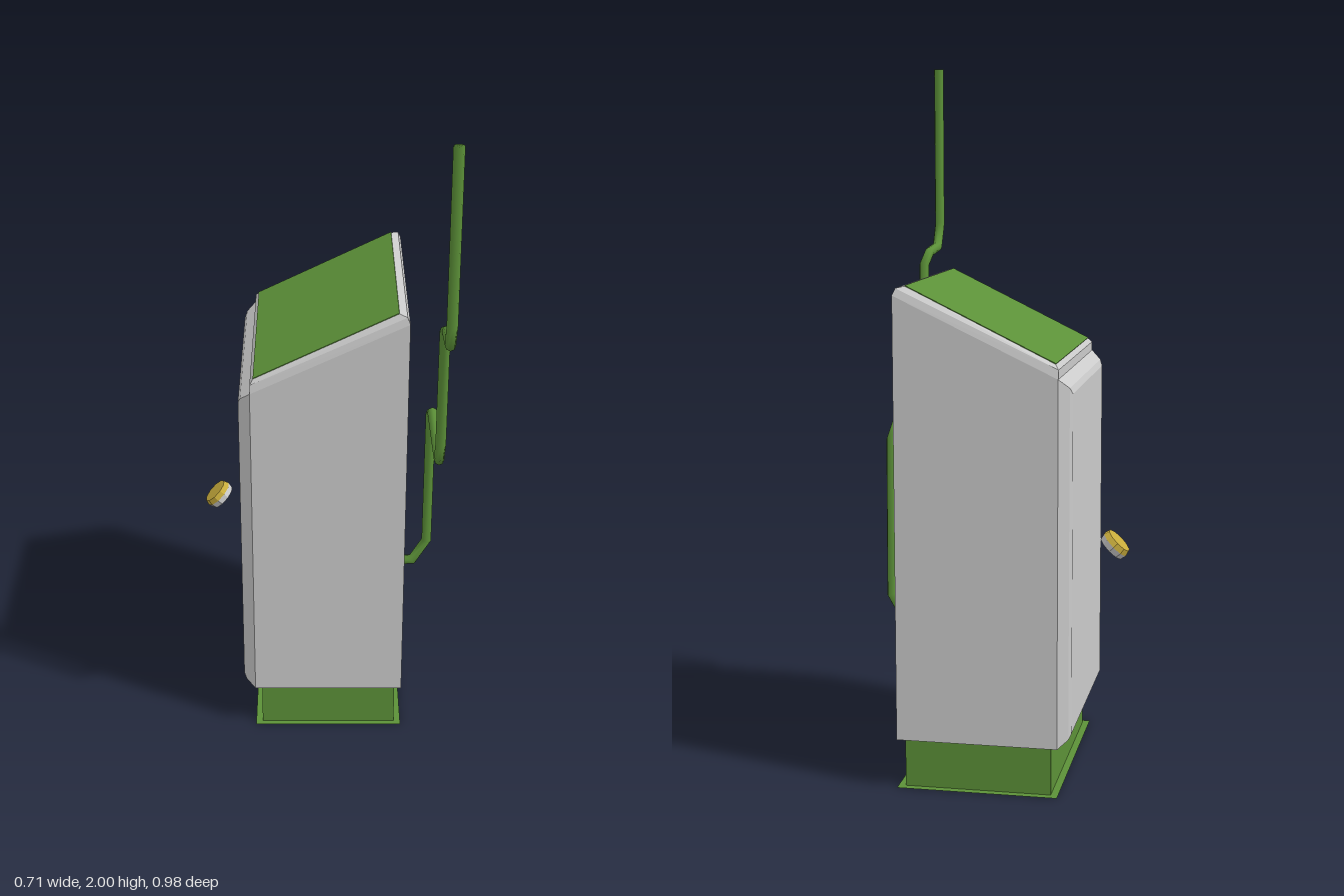
import * as THREE from 'three';
import { ConvexGeometry } from 'three/addons/geometries/ConvexGeometry.js';

const V = (x, y, z) => new THREE.Vector3(x, y, z);
const Z0 = -0.49, Z1 = 0.16; // depth range of the cabinet

const mat = (color, extra = {}) => new THREE.MeshStandardMaterial({ color, ...extra });

function addMesh(parent, name, geometry, material) {
  const mesh = new THREE.Mesh(geometry, material);
  mesh.name = name;
  parent.add(mesh);
  return mesh;
}

// Faceted hull of outlines [x, y], each pulled in from both depth ends by an inset
function hullFromOutlines(outlines) {
  const points = [];
  for (const { inset, xy } of outlines)
    for (const [x, y] of xy) points.push(V(x, y, Z0 + inset), V(x, y, Z1 - inset));
  return new ConvexGeometry(points);
}

// Round pipe with mitred corners: each ring slides along its segment to the joint plane
function mitredPipe(path, radius, sides) {
  const dirs = path.slice(1).map((p, i) => p.clone().sub(path[i]).normalize());
  const u = V(0, 0, 1), v = dirs[0].clone().cross(u).normalize();
  let ring = [];
  for (let s = 0; s < sides; s++) {
    const a = (s / sides) * Math.PI * 2;
    ring.push(path[0].clone().addScaledVector(u, Math.cos(a) * radius)
      .addScaledVector(v, Math.sin(a) * radius));
  }
  const pos = [], index = [];
  const push = (p) => pos.push(p.x, p.y, p.z);
  ring.forEach(push);
  for (let i = 1; i < path.length; i++) {
    const d = dirs[i - 1];
    const n = d.clone().add(dirs[i] || d).normalize();
    ring = ring.map((p) => p.clone()
      .addScaledVector(d, path[i].clone().sub(p).dot(n) / d.dot(n)));
    ring.forEach(push);
    for (let s = 0; s < sides; s++) {
      const a = (i - 1) * sides + s, b = (i - 1) * sides + ((s + 1) % sides);
      index.push(a, b, b + sides, a, b + sides, a + sides);
    }
  }
  // end caps
  const last = (path.length - 1) * sides;
  for (let s = 1; s < sides - 1; s++)
    index.push(0, s + 1, s, last, last + s, last + s + 1);
  const g = new THREE.BufferGeometry();
  g.setAttribute('position', new THREE.Float32BufferAttribute(pos, 3));
  g.setIndex(index);
  g.computeVertexNormals();
  return g;
}

export function createModel() {
  const model = new THREE.Group();
  model.name = 'cabinet';
  const grey = mat(0xcccccc, { flatShading: true });
  const green = mat(0x5c9138, { flatShading: true, side: THREE.DoubleSide });
  const gold = mat(0xc8ac3c, { flatShading: true });

  // Plinth with its thin ground sheet
  const plinth = addMesh(model, 'plinth', new THREE.BoxGeometry(0.41, 0.14, 0.61), green);
  plinth.position.set(0.025, 0.07, -0.163);
  const sheet = addMesh(model, 'groundSheet', new THREE.PlaneGeometry(0.45, 0.65), green);
  sheet.rotation.x = -Math.PI / 2;
  sheet.position.set(0.025, 0.001, -0.165);

  // Body with a sloping, bevelled top
  addMesh(model, 'body', hullFromOutlines([
    { inset: 0, xy: [[-0.2, 0.14], [0.25, 0.14], [0.25, 1.375], [-0.2, 1.16]] },
    { inset: 0.006, xy: [[-0.2, 1.185], [0.242, 1.394]] },
    { inset: 0.021, xy: [[-0.19, 1.198], [0.22, 1.399]] },
  ]), grey);

  // Green sheet lying on the slope
  const slope = Math.atan2(0.201, 0.41);
  const roof = addMesh(model, 'roofPanel',
    new THREE.BoxGeometry(Math.hypot(0.41, 0.201), 0.004, 0.608), green);
  roof.rotation.z = slope;
  roof.position.set(0.015, 1.2985, -0.165);

  // Bevelled door on the low side
  addMesh(model, 'door', hullFromOutlines([
    { inset: 0, xy: [[-0.2, 0.14], [-0.2, 1.16]] },
    { inset: 0.022, xy: [[-0.228, 0.162], [-0.228, 1.135]] },
    { inset: 0.034, xy: [[-0.235, 0.176], [-0.235, 1.118]] },
  ]), grey);

  // Tilted knob: grey rim and gold face
  const knob = new THREE.Group();
  knob.name = 'knob';
  knob.position.set(-0.316, 0.645, -0.168);
  knob.rotation.z = Math.PI / 4;
  model.add(knob);
  addMesh(knob, 'knobBack', new THREE.CylinderGeometry(0.046, 0.042, 0.018, 10), grey)
    .position.y = -0.009;
  addMesh(knob, 'knobFace', new THREE.CylinderGeometry(0.041, 0.046, 0.016, 10), gold)
    .position.y = 0.008;

  // Bent pipe from the side of the body to the top
  const px = 0.338;
  const path = [
    V(0.24, 0.392, -0.18), V(0.295, 0.396, -0.18), V(px, 0.47, -0.178),
    ...[[0.927, -0.169], [0.964, -0.104], [0.976, 0.207], [1.045, 0.247], [1.4, 0.257],
      [1.435, 0.33], [1.446, 0.44], [1.515, 0.477], [2, 0.477]].map(([y, z]) => V(px, y, z)),
  ];
  addMesh(model, 'pipe', mitredPipe(path, 0.015, 8), mat(0x5c9138, { side: THREE.DoubleSide }));

  return model;
}
